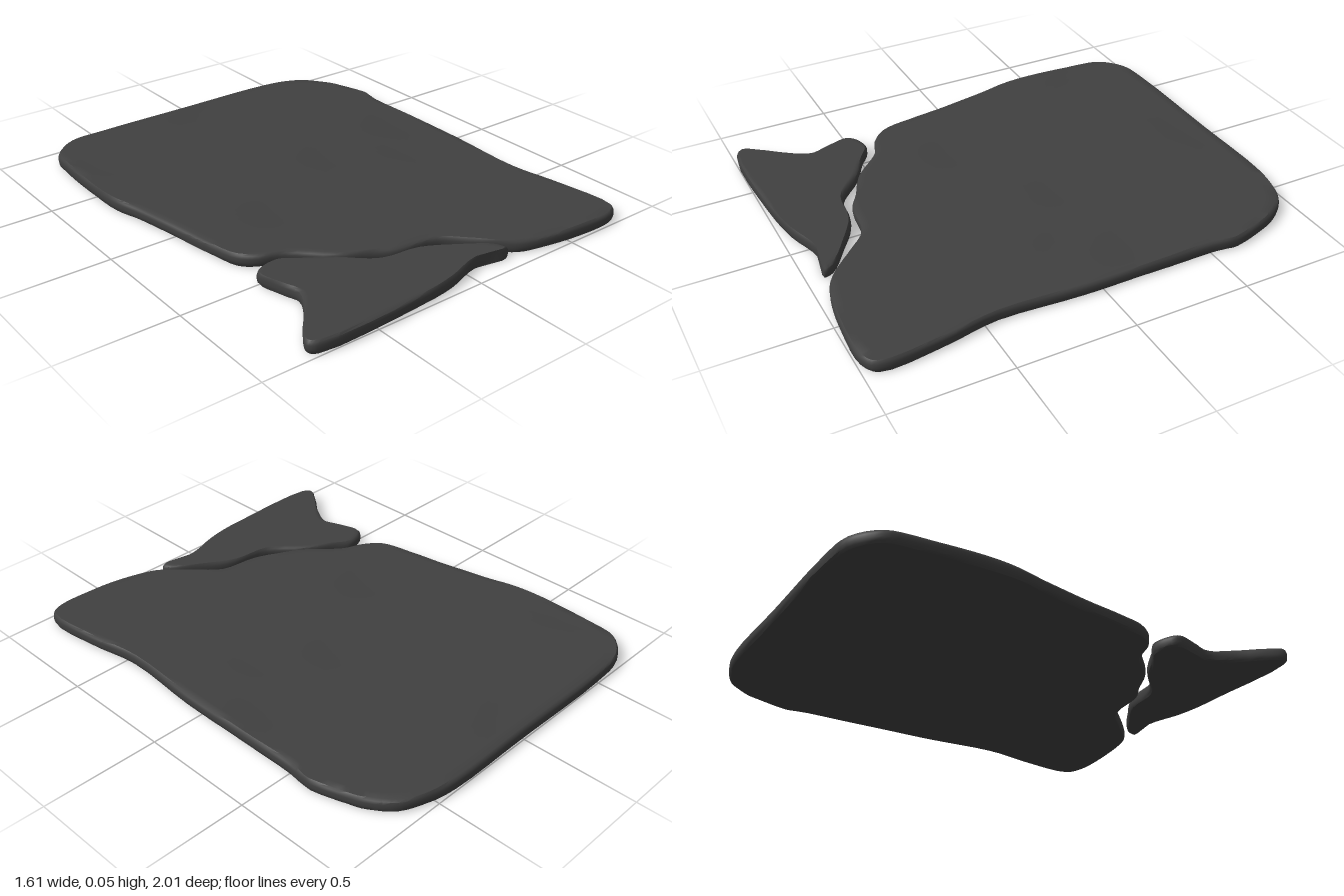
import * as THREE from 'three';
import { toCreasedNormals } from 'three/addons/utils/BufferGeometryUtils.js';

// Outlines as [x, z], clockwise seen from above
const SLAB = [
  [-0.79, -0.77], [-0.77, -0.89], [-0.66, -0.98], [-0.5, -1], [0, -1], [0.4, -1], [0.52, -0.98],
  [0.64, -0.93], [0.71, -0.84], [0.74, -0.77], [0.78, -0.63], [0.78, -0.58], [0.77, -0.5],
  [0.77, -0.24], [0.77, 0.08], [0.75, 0.45], [0.79, 0.69], [0.8, 0.95], [0.74, 0.99],
  [0.56, 0.99], [0.4, 0.97], [0.28, 0.93], [0.2, 0.86], [0.14, 0.8], [0.04, 0.71],
  [-0.14, 0.68], [-0.23, 0.63], [-0.35, 0.57], [-0.49, 0.44], [-0.59, 0.4], [-0.65, 0.34],
  [-0.69, 0.19], [-0.72, 0], [-0.76, -0.21], [-0.79, -0.34], [-0.8, -0.55],
];
const SHARD = [
  [-0.66, 0.49], [-0.56, 0.45], [-0.48, 0.5], [-0.36, 0.57], [-0.22, 0.69], [-0.05, 0.72],
  [0.08, 0.8], [0.2, 0.89], [0.21, 0.93], [0.07, 0.91], [-0.1, 0.96], [-0.31, 0.99],
  [-0.76, 0.99], [-0.79, 0.96], [-0.75, 0.89], [-0.67, 0.79], [-0.62, 0.69], [-0.64, 0.6],
];

// Shallow worn hollows in the top: x, z, radius, depth
const DENTS = [
  [-0.33, 0.15, 0.13, 0.004], [0.15, -0.12, 0.12, 0.004], [0.45, 0.04, 0.07, 0.003],
  [0.62, -0.2, 0.14, 0.004], [-0.02, -0.88, 0.09, 0.003], [-0.7, -0.67, 0.07, 0.003],
];

function topHeight(x, z) {
  let y = 0.055 - 0.0015 * THREE.MathUtils.smoothstep(z, -0.6, 0.6);
  for (const [dx, dz, r, depth] of DENTS) {
    const d = Math.hypot(x - dx, z - dz) / r;
    if (d < 1) y -= depth * (1 - d * d) ** 2;
  }
  return y;
}

// Stone piece: loops run from the underside centre, up the worn edge, to the top centre
function stone(name, outline, cx, cz, material) {
  const curve = new THREE.CatmullRomCurve3(outline.map(([x, z]) => new THREE.Vector3(x, 0, z)), true);
  const n = outline.length * 4;
  const rim = curve.getPoints(n).slice(0, n);

  // [inset from rim, height fraction, remaining scale]
  const loops = [[0.012, 0, 0.001], [0.012, 0, 0.5], [0.012, 0, 1], [0.003, 0.14, 1],
    [0, 0.4, 1], [0, 0.68, 1], [0.004, 0.88, 1], [0.013, 1, 1]];
  for (let k = 1; k <= 28; k++) loops.push([0.013, 1, Math.max(1 - k / 28, 0.001)]);

  const pos = [], index = [];
  loops.forEach(([inset, h, scale], j) => {
    rim.forEach((p, i) => {
      const dx = p.x - cx, dz = p.z - cz, len = Math.hypot(dx, dz);
      // chipped edge: the inset varies slowly around the rim
      const chip = inset * (1 + 0.4 * Math.sin(i * 0.55 + j) * Math.sin(i * 0.17));
      const s = scale * (1 - chip / len);
      const x = cx + dx * s, z = cz + dz * s;
      pos.push(x, h * topHeight(x, z), z);
    });
    if (j === loops.length - 1) return;
    for (let i = 0; i < n; i++) {
      const a = j * n + i, b = j * n + (i + 1) % n;
      index.push(a, a + n, b, b, a + n, b + n);
    }
  });

  const geo = new THREE.BufferGeometry();
  geo.setAttribute('position', new THREE.Float32BufferAttribute(pos, 3));
  geo.setIndex(index);
  const mesh = new THREE.Mesh(toCreasedNormals(geo, 0.7), material);
  mesh.name = name;
  return mesh;
}

export function createModel() {
  const group = new THREE.Group();
  group.name = 'brokenStoneSlab';
  const material = new THREE.MeshStandardMaterial({ color: 0x404040 });
  group.add(stone('mainSlab', SLAB, 0.05, 0, material));
  group.add(stone('brokenCorner', SHARD, -0.4, 0.82, material));
  return group;
}
